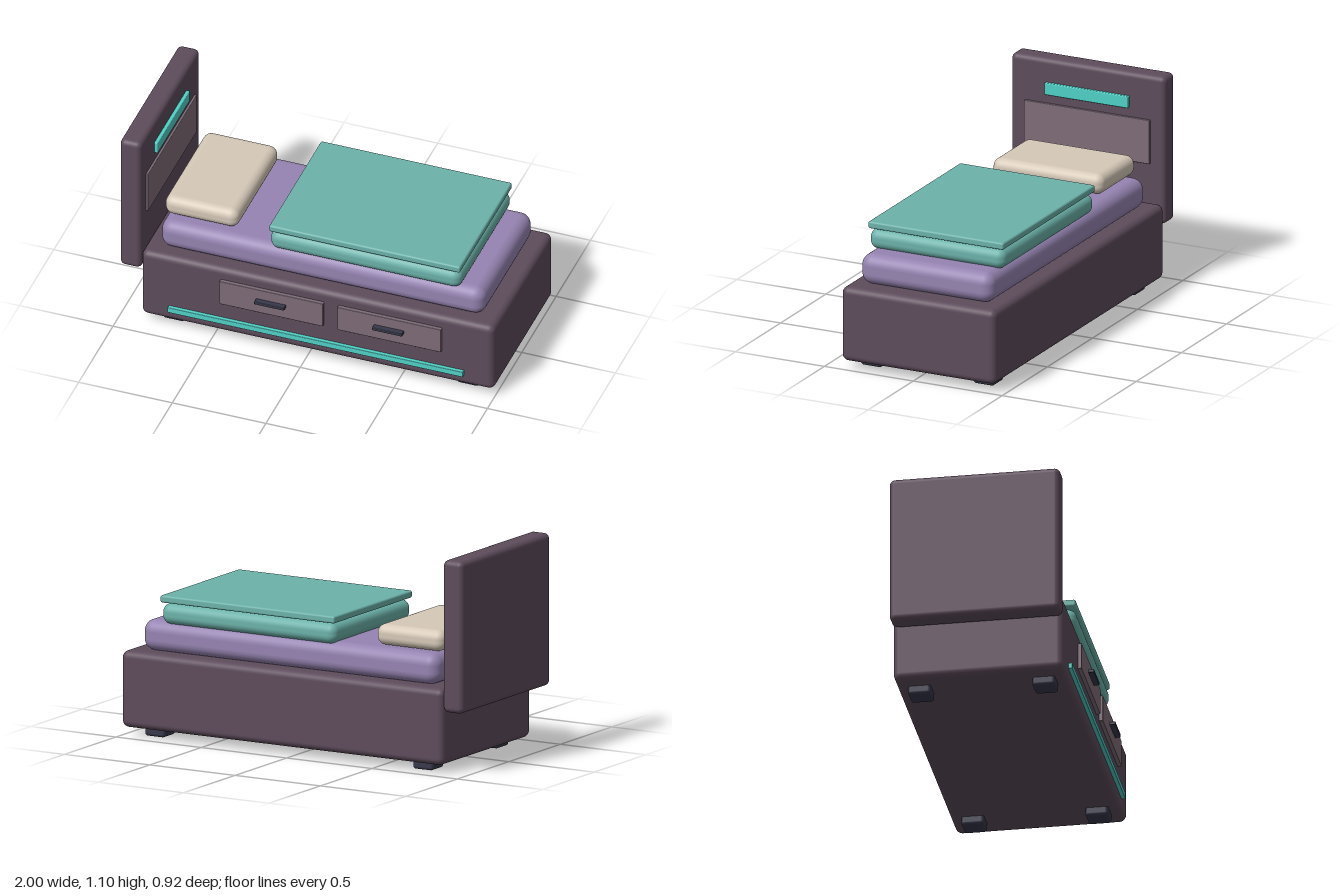
import * as THREE from 'three';
import { RoundedBoxGeometry } from 'three/addons/geometries/RoundedBoxGeometry.js';

function paint(name, color) {
  const m = new THREE.MeshStandardMaterial({ color });
  m.name = name;
  return m;
}

export function createModel() {
  const bed = new THREE.Group();
  bed.name = 'bed';

  const frame = paint('dark plum', 0x5e4c5c);
  const panel = paint('dusty mauve', 0x7e6c78);
  const lilac = paint('lilac', 0x9684b2);
  const cream = paint('cream', 0xd6c9b8);
  const blanketGreen = paint('soft teal', 0x6cb2aa);
  const accent = paint('bright turquoise', 0x50d2c8);
  const slate = paint('dark slate', 0x38384c);

  // Rounded block given by its extents on each axis
  function block(name, material, [x0, x1], [y0, y1], [z0, z1], radius) {
    const w = x1 - x0, h = y1 - y0, d = z1 - z0;
    const mesh = new THREE.Mesh(new RoundedBoxGeometry(w, h, d, 4, radius), material);
    mesh.position.set((x0 + x1) / 2, (y0 + y1) / 2, (z0 + z1) / 2);
    mesh.name = name;
    bed.add(mesh);
  }

  // Frame and headboard
  block('base', frame, [-0.885, 1], [0.043, 0.435], [-0.457, 0.41], 0.035);
  block('headboard', frame, [-1, -0.885], [0.32, 1.1], [-0.457, 0.41], 0.028);
  block('headboardPanel', panel, [-0.9, -0.874], [0.634, 0.867], [-0.376, 0.332], 0.004);
  block('headboardLight', accent, [-0.9, -0.867], [0.914, 0.977], [-0.258, 0.213], 0.005);

  // Bedding
  block('mattress', lilac, [-0.81, 0.92], [0.433, 0.592], [-0.395, 0.35], 0.06);
  block('pillow', cream, [-0.81, -0.417], [0.595, 0.702], [-0.338, 0.285], 0.045);
  block('duvet', blanketGreen, [-0.22, 0.8], [0.582, 0.688], [-0.404, 0.357], 0.045);
  block('foldedBlanket', blanketGreen, [-0.22, 0.8], [0.693, 0.73], [-0.404, 0.357], 0.01);

  // Drawers with handles
  for (const x of [-0.182, 0.448]) {
    block('drawer', panel, [x - 0.277, x + 0.277], [0.23, 0.371], [0.39, 0.43], 0.004);
    block('drawerHandle', slate, [x - 0.08, x + 0.08], [0.298, 0.315], [0.42, 0.459], 0.003);
  }
  block('lightStrip', accent, [-0.735, 0.842], [0.105, 0.136], [0.39, 0.43], 0.003);

  // Feet
  for (const x of [-0.733, 0.838]) {
    for (const z of [-0.34, 0.292]) {
      block('foot', slate, [x - 0.058, x + 0.058], [0, 0.065], [z - 0.058, z + 0.058], 0.015);
    }
  }
  return bed;
}
